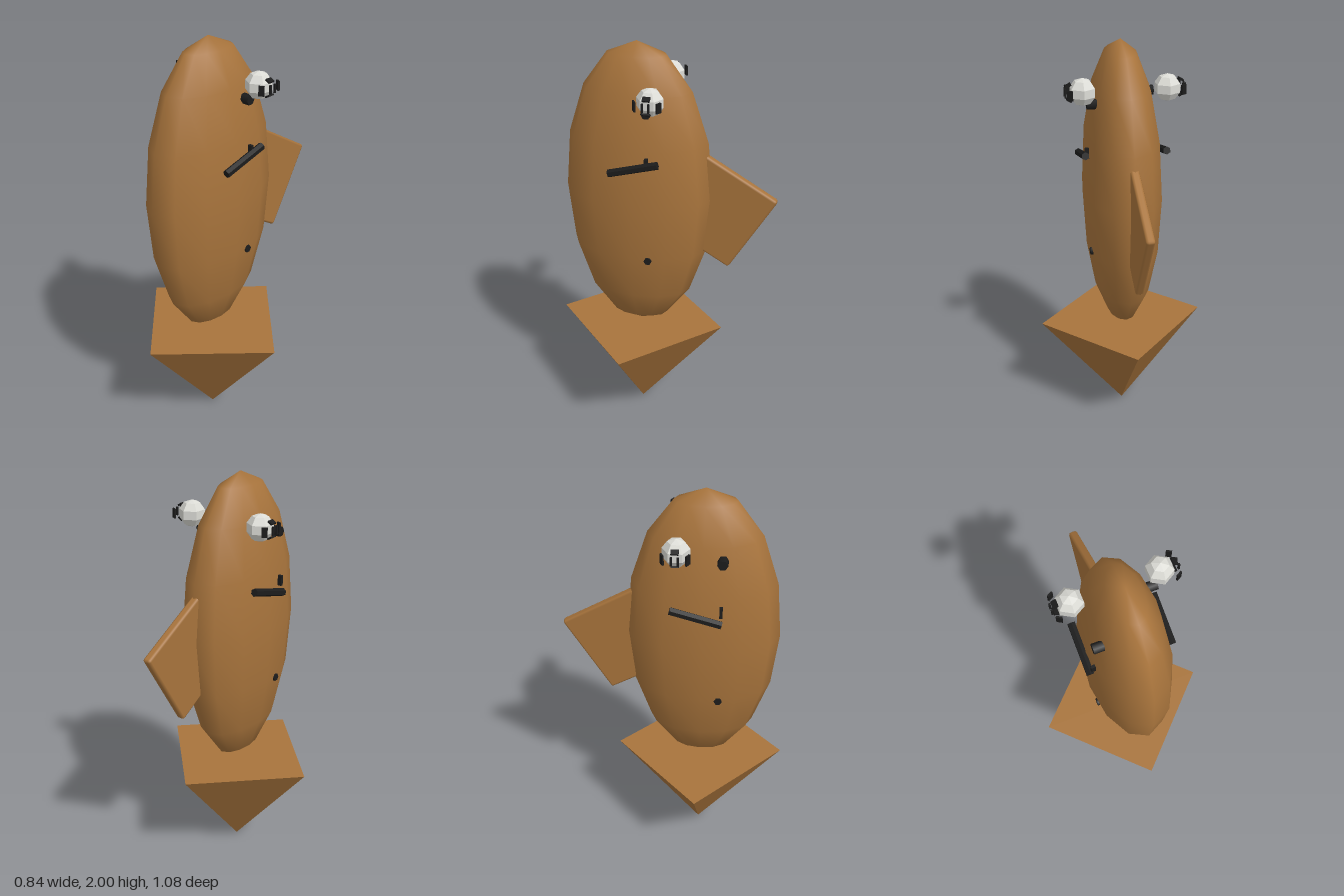
import * as THREE from 'three';
import { RoundedBoxGeometry } from 'three/addons/geometries/RoundedBoxGeometry.js';

export function createModel() {
  const model = new THREE.Group();
  const material = (name, color) => {
    const m = new THREE.MeshStandardMaterial({ color });
    m.name = name;
    return m;
  };
  const brown = material('brown', 0xa8743c);
  const white = material('eye white', 0xdcdcd6);
  const black = material('black', 0x1c1c1c);

  const add = (parent, name, geometry, mat, x, y, z) => {
    const mesh = new THREE.Mesh(geometry, mat);
    mesh.name = name;
    mesh.position.set(x, y, z);
    parent.add(mesh);
    return mesh;
  };
  // Unshared vertices give crisp facets
  const faceted = (geometry) => {
    const g = geometry.index ? geometry.toNonIndexed() : geometry;
    g.computeVertexNormals();
    return g;
  };

  const midZ = 0.125; // body axis

  // Flattened egg-shaped body
  const bodyGeometry = new THREE.SphereGeometry(1, 12, 8);
  bodyGeometry.rotateY(Math.PI / 2);
  bodyGeometry.scale(0.19, 0.735, 0.3625);
  add(model, 'body', bodyGeometry, brown, 0, 1.265, midZ);

  // Upside-down four-sided pyramid tail
  const tailGeometry = new THREE.ConeGeometry(0.422, 0.532, 4);
  tailGeometry.rotateX(Math.PI);
  add(model, 'tail', faceted(tailGeometry), brown, 0, 0.266, 0.12);

  // Tilted square fin at the back
  const fin = add(model, 'backFin', new RoundedBoxGeometry(0.042, 0.44, 0.44, 1, 0.012), brown, 0, 1.212, -0.245);
  fin.rotation.x = -Math.PI / 6;

  // Eyes with a cage of small dark plates on the outer side
  const eyeGeometry = new THREE.SphereGeometry(0.064, 6, 5);
  eyeGeometry.rotateY(Math.PI / 2);
  const eyeFacets = faceted(eyeGeometry);
  for (const side of [1, -1]) {
    const eye = new THREE.Group();
    eye.name = side > 0 ? 'leftEye' : 'rightEye';
    eye.position.set(side * 0.196, 1.795, 0.013);
    model.add(eye);
    add(eye, 'eyeball', eyeFacets, white, 0, 0, 0);
    for (const s of [1, -1]) {
      add(eye, 'pupilBar', new THREE.BoxGeometry(0.008, 0.04, 0.009), black, side * 0.079, 0, s * 0.014);
      const lid = add(eye, 'pupilEdge', new THREE.BoxGeometry(0.008, 0.024, 0.034), black, side * 0.062, s * 0.034, 0);
      lid.rotation.z = side * s * 1.05;
      const plate = add(eye, 'sidePlate', new THREE.BoxGeometry(0.008, 0.045, 0.026), black, side * 0.063, 0, s * 0.054);
      plate.rotation.y = -side * s * 1.05;
    }
  }

  // Slanted bars on both flanks
  const barGeometry = faceted(new THREE.CylinderGeometry(0.019, 0.019, 0.24, 6));
  for (const side of [1, -1]) {
    const bar = add(model, side > 0 ? 'leftBar' : 'rightBar', barGeometry, black, side * 0.193, 1.467, 0.098);
    bar.rotation.x = Math.atan2(0.235, -0.065);
  }

  // Small studs, repeated half a turn around the body axis
  for (const side of [1, -1]) {
    const z = midZ - side * 0.085;
    const nub = add(model, 'upperNub', new THREE.CylinderGeometry(0.024, 0.024, 0.05, 6), black, side * 0.15, 1.727, z);
    nub.rotation.z = Math.PI / 2;
    add(model, 'middlePin', new THREE.BoxGeometry(0.02, 0.05, 0.014), black, side * 0.178, 1.492, z);
    const dot = add(model, 'lowerDot', new THREE.CylinderGeometry(0.019, 0.019, 0.03, 6), black, side * 0.157, 0.977, z);
    dot.rotation.z = Math.PI / 2;
  }

  return model;
}
